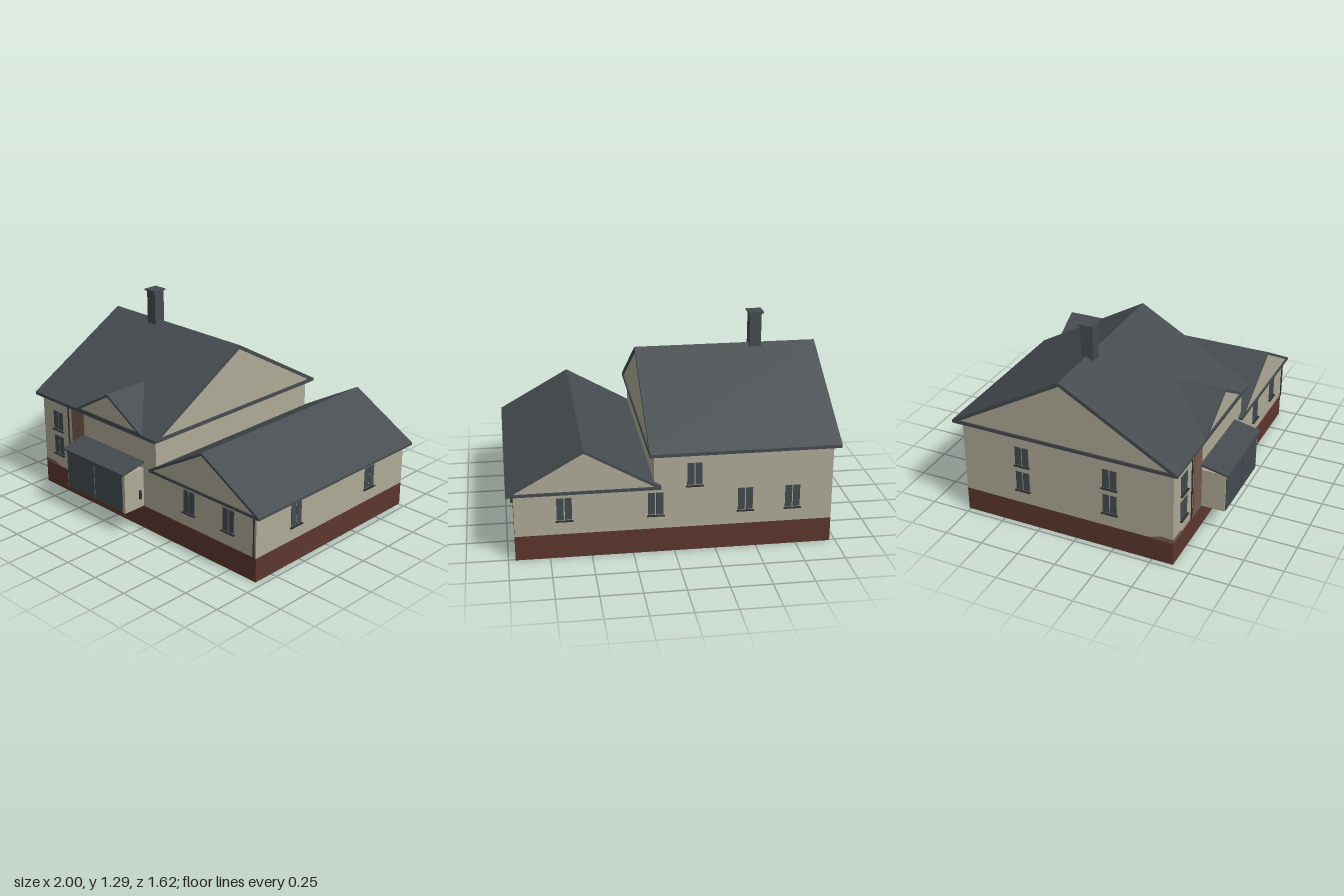
import * as THREE from 'three';
import { mergeGeometries } from 'three/addons/utils/BufferGeometryUtils.js';

const mat = (name, color, side = THREE.FrontSide) => {
  const m = new THREE.MeshStandardMaterial({ color, side });
  m.name = name;
  return m;
};

export function createModel() {
  const house = new THREE.Group();
  house.name = 'house';

  const wall = mat('plaster', 0xaeaa97, THREE.DoubleSide);
  const brick = mat('foundation brick', 0x5c362d, THREE.DoubleSide);
  const roofing = mat('slate roof', 0x454b4f);
  const glass = mat('dark glass', 0x434b50);
  const iron = mat('dark iron', 0x2c2f32);
  const wood = mat('brown cladding', 0x745b4d);

  const add = (name, geo, material, parent = house) => {
    const mesh = new THREE.Mesh(geo, material);
    mesh.name = name;
    parent.add(mesh);
    return mesh;
  };

  // Box given by its two corners
  const box = (name, material, x0, x1, y0, y1, z0, z1, parent) => {
    const m = add(name, new THREE.BoxGeometry(x1 - x0, y1 - y0, z1 - z0), material, parent);
    m.position.set((x0 + x1) / 2, (y0 + y1) / 2, (z0 + z1) / 2);
    return m;
  };

  // Four walls without floor or ceiling
  const shell = (name, material, x0, x1, y0, y1, z0, z1) => {
    const w = x1 - x0, h = y1 - y0, d = z1 - z0;
    const sides = [0, 1, 2, 3].map((i) => {
      const [len, off] = i % 2 ? [d, w / 2] : [w, d / 2];
      return new THREE.PlaneGeometry(len, h).translate(0, 0, off).rotateY(i * Math.PI / 2);
    });
    add(name, mergeGeometries(sides), material)
      .position.set((x0 + x1) / 2, (y0 + y1) / 2, (z0 + z1) / 2);
  };

  const polygon = (pts) => new THREE.Shape(pts.map(([x, y]) => new THREE.Vector2(x, y)));
  const extrude = (shape, depth) =>
    new THREE.ExtrudeGeometry(shape, { depth, bevelEnabled: false }).translate(0, 0, -depth / 2);

  // Gabled roof along z: dark frame all through, pale gable set slightly back
  const gableRoof = (name, half, y0, eave, ridge, length, rim) => {
    const g = new THREE.Group();
    g.name = name;
    const slope = (ridge - eave) / half;
    const base = eave + 0.003, top = ridge - rim;
    const inner = (top - base) / slope;
    const tri = [[-inner, base], [inner, base], [0, top]];
    const frame = polygon([[-half, y0], [half, y0], [half, eave], [0, ridge], [-half, eave]]);
    frame.holes.push(polygon(tri));
    add(name + 'Slopes', extrude(frame, length), roofing, g);
    add(name + 'Gables', extrude(polygon(tri), length - 0.016), wall, g);
    house.add(g);
    return g;
  };

  // Foundation and walls
  const X0 = -0.965, X1 = 0.957, Z0 = -0.76, Z1 = 0.635;
  shell('foundation', brick, X0, X1, 0, 0.155, Z0, Z1);
  shell('lowerWalls', wall, X0, X1, 0.155, 0.43, Z0, Z1);
  shell('upperWalls', wall, X0, 0.125, 0.43, 0.637, Z0, Z1);

  // Main roof, side wing roof and dormer
  const mainRoof = gableRoof('mainRoof', 0.74, 0.635, 0.655, 1.08, 1.155, 0.026);
  mainRoof.rotation.y = Math.PI / 2;
  mainRoof.position.set(-0.4225, 0, -0.07);
  gableRoof('wingRoof', 0.458, 0.425, 0.44, 0.7, 1.46, 0.018).position.set(0.542, 0, -0.068);
  gableRoof('dormer', 0.3, 0.652, 0.662, 0.837, 0.32, 0.016).position.set(-0.273, 0, 0.512);

  // Chimney with cap
  box('chimney', roofing, -0.647, -0.573, 1.0, 1.28, -0.105, -0.025);
  box('chimneyCap', roofing, -0.66, -0.563, 1.278, 1.287, -0.115, -0.015);

  // Glazed porch
  const porch = new THREE.Group();
  porch.name = 'porch';
  house.add(porch);
  box('porchWalls', wall, -0.545, 0.008, 0.157, 0.417, 0.632, 0.792, porch);
  box('porchDoorRight', glass, -0.535, -0.277, 0.16, 0.417, 0.792, 0.797, porch);
  box('porchDoorLeft', glass, -0.269, -0.012, 0.16, 0.417, 0.792, 0.797, porch);
  const slab = polygon([[0.63, 0.452], [0.81, 0.417], [0.81, 0.428], [0.63, 0.467]]);
  const porchRoof = add('porchRoof', extrude(slab, 0.574), roofing, porch);
  porchRoof.rotation.y = -Math.PI / 2;
  porchRoof.position.x = -0.273;

  // Brown cladding strip and weathered edge along the foundation
  box('cladding', wood, -0.67, -0.548, 0.157, 0.635, Z1, Z1 + 0.006);
  const edge = extrude(polygon([[0, 0], [0.415, 0], [0.415, 0.006], [0.14, 0.006],
    [0.09, 0.025], [0, 0.025]]), 0.006);
  add('frontEdge', edge, wood).position.set(X0, 0.155, Z1 + 0.001);
  const sideEdge = add('sideEdge', extrude(polygon([[0, 0], [0, 0.025], [-0.07, 0.03],
    [-0.16, 0]]), 0.006), wood);
  sideEdge.rotation.y = -Math.PI / 2;
  sideEdge.position.set(X0 - 0.001, 0.155, Z1);
  box('wingEdge', wood, 0.01, X1, 0.154, 0.16, Z1, Z1 + 0.003);

  // Downpipes and wall lamp
  const pipe = (x, y0, y1) => {
    add('downpipe', new THREE.CylinderGeometry(0.005, 0.005, y1 - y0, 8), iron)
      .position.set(x, (y0 + y1) / 2, Z1 + 0.006);
  };
  pipe(-0.703, 0.157, 0.64);
  pipe(0.943, 0.157, 0.43);
  box('wallLamp', iron, 0.008, 0.016, 0.215, 0.275, 0.66, 0.675);

  // Windows: two panes and a sill, facing outward from the wall
  const windowAt = (x, y, z, turn, h = 0.125) => {
    const g = new THREE.Group();
    g.name = 'window';
    for (const s of [-1, 1]) {
      const c = s * 0.0245;
      box('pane', glass, c - 0.021, c + 0.021, -h / 2, h / 2, -0.002, 0.004, g);
    }
    box('sill', iron, -0.053, 0.053, -h / 2 - 0.011, -h / 2 - 0.005, 0, 0.015, g);
    g.position.set(x, y, z);
    g.rotation.y = turn * Math.PI / 2;
    house.add(g);
  };
  for (const y of [0.49, 0.315]) {
    windowAt(-0.815, y, Z1, 0);
    windowAt(X0, y, -0.357, -1);
    windowAt(X0, y, 0.227, -1);
  }
  for (const x of [0.412, 0.738]) windowAt(x, 0.325, Z1, 0, 0.145);
  for (const z of [0.288, -0.41]) windowAt(X1, 0.32, z, 1, 0.14);
  for (const x of [0.66, 0.115, -0.43, -0.72]) windowAt(x, 0.32, Z0, 2, 0.14);
  windowAt(-0.12, 0.5, Z0, 2, 0.14);

  return house;
}
